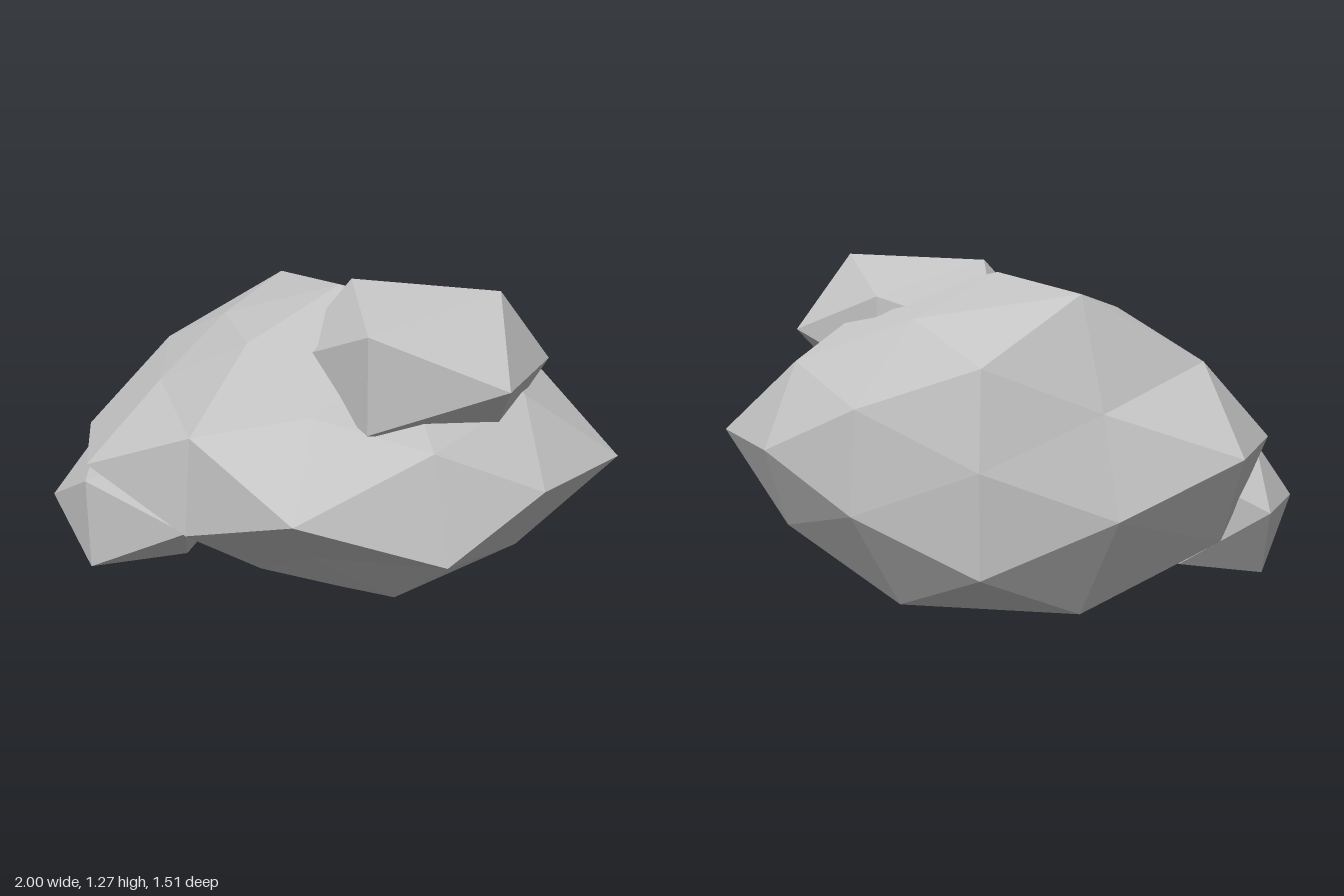
import * as THREE from 'three';
import { ConvexGeometry } from 'three/addons/geometries/ConvexGeometry.js';

// Radius of each boulder corner, grouped by direction family.
// Within a family the order is by sign: first non-zero axis flips fastest.
const RADII = {
  '10,0,0': [0.861, 0.828],
  '0,10,0': [0.743, 0.781],
  '0,0,10': [0.848, 0.725],
  '5,9,0': [0.72, 0.69, 0.69, 0.66],
  '0,5,9': [0.605, 0.61, 0.767, 0.843],
  '9,0,5': [0.763, 0.827, 0.759, 0.841],
  '8,5,3': [0.71, 0.65, 0.706, 0.68, 0.722, 0.754, 0.765, 0.83],
  '3,8,5': [0.72, 0.705, 0.72, 0.64, 0.70, 0.84, 0.83, 0.855],
  '5,3,8': [0.69, 0.695, 0.796, 0.728, 0.706, 0.65, 0.734, 0.74],
};

function cornerRadius(v) {
  const axes = v.toArray();
  const key = axes.map((n) => Math.round(Math.abs(n) * 10)).join(',');
  let index = 0, bit = 1;
  for (const n of axes) {
    if (Math.abs(n) < 0.05) continue;
    if (n < 0) index += bit;
    bit *= 2;
  }
  return RADII[key][index];
}

// Subdivided icosahedron with uneven radii, flattened and turned
function boulderGeometry() {
  const geometry = new THREE.IcosahedronGeometry(1, 1);
  const pos = geometry.attributes.position;
  const v = new THREE.Vector3();
  for (let i = 0; i < pos.count; i++) {
    v.fromBufferAttribute(pos, i).normalize();
    v.multiplyScalar(cornerRadius(v));
    pos.setXYZ(i, v.x, v.y, v.z);
  }
  geometry.scale(1.2, 0.8, 1);
  geometry.rotateY(0.3);
  geometry.translate(0.014, 0.625, -0.057);
  geometry.computeVertexNormals();
  return geometry;
}

// Small twelve-cornered stone
function stoneGeometry(corners) {
  return new ConvexGeometry(corners.map((c) => new THREE.Vector3(...c)));
}

export function createModel() {
  const group = new THREE.Group();
  group.name = 'rockCluster';
  const stone = new THREE.MeshStandardMaterial({ color: 0xc3c3c3, flatShading: true });
  stone.name = 'pale grey stone';

  const add = (name, geometry) => {
    const mesh = new THREE.Mesh(geometry, stone);
    mesh.name = name;
    group.add(mesh);
  };

  add('boulder', boulderGeometry());

  // Stone on the upper left shoulder
  add('upperStone', stoneGeometry([
    [0.65, 1.275, 0], [0.09, 1.26, 0], [0.64, 0.74, 0], [0.1, 0.74, 0],
    [0.36, 1.178, 0.417], [0.36, 0.843, 0.417], [0.36, 1.14, -0.345], [0.36, 0.86, -0.36],
    [0.78, 1.0, 0.224], [0.76, 1.0, -0.226], [-0.06, 1.0, 0.24], [-0.05, 1.0, -0.23],
  ]));

  // Stone at the lower right front
  add('lowerStone', stoneGeometry([
    [-0.89, 0.6, 0.24], [-0.5, 0.6, 0.24], [-0.93, 0.106, 0.24], [-0.5, 0.156, 0.24],
    [-0.69, 0.548, 0.59], [-0.69, 0.207, 0.59], [-0.69, 0.55, -0.08], [-0.69, 0.2, -0.08],
    [-1.0, 0.374, 0.41], [-0.98, 0.374, 0.08], [-0.33, 0.374, 0.49], [-0.36, 0.374, 0.08],
  ]));

  return group;
}
